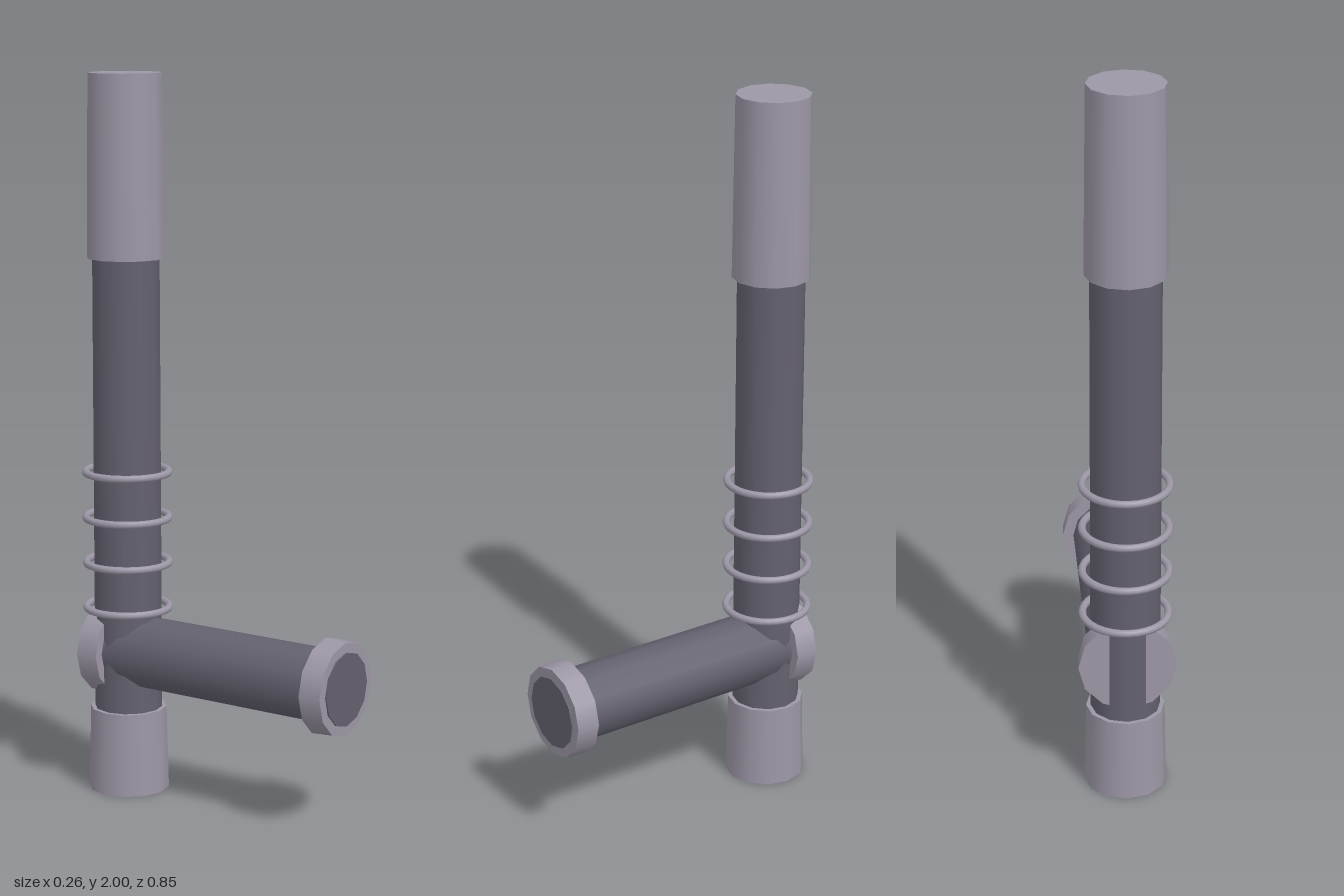
import * as THREE from 'three';

const SIDES = 12;
const STEM_Z = -0.3;
const BRANCH_Y = 0.4;

export function createModel() {
  const model = new THREE.Group();
  model.name = 'pipeAssembly';

  const darkMetal = new THREE.MeshStandardMaterial({ color: 0x64616f });
  darkMetal.name = 'dark metal';
  const paleMetal = new THREE.MeshStandardMaterial({ color: 0x9d97a6 });
  paleMetal.name = 'pale metal';

  function add(name, geometry, material) {
    const mesh = new THREE.Mesh(geometry, material);
    mesh.name = name;
    model.add(mesh);
    return mesh;
  }

  // Upright tapered tube standing on the stem axis
  function upright(name, y0, y1, rBottom, rTop, material) {
    const geometry = new THREE.CylinderGeometry(rTop, rBottom, y1 - y0, SIDES);
    add(name, geometry, material).position.set(0, (y0 + y1) / 2, STEM_Z);
  }

  // Level tapered tube running front to back
  function level(name, z0, z1, rBack, rFront, material) {
    const geometry = new THREE.CylinderGeometry(rFront, rBack, z1 - z0, SIDES);
    geometry.rotateX(Math.PI / 2);
    add(name, geometry, material).position.set(0, BRANCH_Y, (z0 + z1) / 2);
  }

  // Vertical stem with its sleeves
  upright('stem', 0.1, 1.9, 0.095, 0.092, darkMetal);
  upright('topSleeve', 1.5, 2, 0.107, 0.101, paleMetal);
  upright('bottomSleeve', 0, 0.235, 0.113, 0.107, paleMetal);

  // Side branch with a collar at each end
  level('branch', -0.375, 0.424, 0.101, 0.101, darkMetal);
  level('frontCollar', 0.357, 0.42, 0.132, 0.128, paleMetal);
  level('backCollar', -0.38, -0.317, 0.132, 0.128, paleMetal);

  // Loose rings around the stem
  for (let i = 0; i < 4; i++) {
    const ring = new THREE.TorusGeometry(0.1155, 0.0105, 8, 32);
    ring.rotateX(Math.PI / 2);
    add('ring' + (i + 1), ring, paleMetal).position.set(0, 0.522 + i * 0.128, STEM_Z);
  }

  return model;
}
